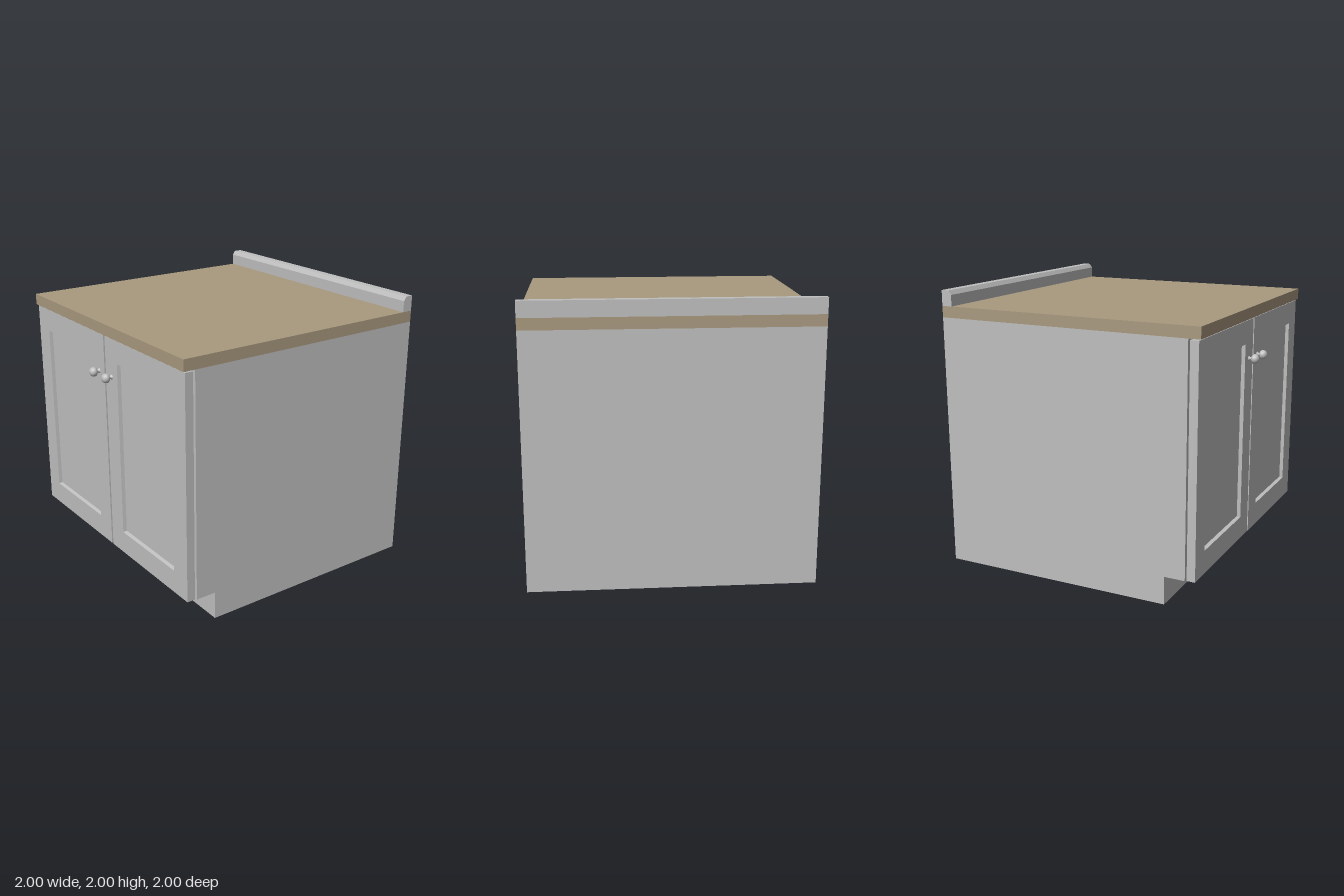
import * as THREE from 'three';

const paint = new THREE.MeshStandardMaterial({ color: 0xbfbfbf });
paint.name = 'grey paint';
const wood = new THREE.MeshStandardMaterial({ color: 0xa9997f });
wood.name = 'wood counter';

function addMesh(parent, name, geometry, material) {
  const mesh = new THREE.Mesh(geometry, material);
  mesh.name = name;
  parent.add(mesh);
  return mesh;
}

// Extrudes a side profile of [z, y] points across the full width
function sideExtrude(points) {
  const shape = new THREE.Shape(points.map(([z, y]) => new THREE.Vector2(z, y)));
  const geometry = new THREE.ExtrudeGeometry(shape, { depth: 2, bevelEnabled: false });
  return geometry.translate(0, 0, -1).rotateY(-Math.PI / 2);
}

// Box given by its min and max corners
function boxBetween(x0, x1, y0, y1, z0, z1) {
  return new THREE.BoxGeometry(x1 - x0, y1 - y0, z1 - z0)
    .translate((x0 + x1) / 2, (y0 + y1) / 2, (z0 + z1) / 2);
}

function corners(x0, x1, y0, y1) {
  return [[x0, y0], [x1, y0], [x1, y1], [x0, y1]];
}

// Sloped moulding between a front rectangle and a smaller rectangle behind it
function slopedRing(outer, inner, zFront, zBack) {
  const positions = [];
  for (let i = 0; i < 4; i++) {
    const j = (i + 1) % 4;
    const a = [...outer[i], zFront], b = [...outer[j], zFront];
    const c = [...inner[j], zBack], d = [...inner[i], zBack];
    positions.push(...a, ...b, ...c, ...a, ...c, ...d);
  }
  const geometry = new THREE.BufferGeometry();
  geometry.setAttribute('position', new THREE.Float32BufferAttribute(positions, 3));
  geometry.computeVertexNormals();
  return geometry;
}

// Door: frame with an opening, sloped moulding, recessed panel and round knob
function makeDoor(name, x0, x1, px0, px1, knobX) {
  const door = new THREE.Group();
  door.name = name;
  const back = 0.865, front = 0.925, recess = 0.9, slope = 0.007;
  const py0 = 0.365, py1 = 1.637;
  const toPoints = (list) => list.map(([x, y]) => new THREE.Vector2(x, y));

  const shape = new THREE.Shape(toPoints(corners(x0, x1, 0.2, 1.8)));
  shape.holes.push(new THREE.Path(toPoints(corners(px0, px1, py0, py1))));
  const frame = new THREE.ExtrudeGeometry(shape, { depth: front - back, bevelEnabled: false });
  addMesh(door, 'doorFrame', frame.translate(0, 0, back), paint);

  const inner = corners(px0 + slope, px1 - slope, py0 + slope, py1 - slope);
  addMesh(door, 'panelMoulding',
    slopedRing(corners(px0, px1, py0, py1), inner, front, recess), paint);
  addMesh(door, 'doorPanel', boxBetween(px0, px1, py0, py1, back, recess), paint);

  // Knob turned around the z axis: flared foot, thin stem, flattened head
  const profile = [[0.018, 0], [0.016, 0.004], [0.011, 0.009], [0.01, 0.017], [0.013, 0.022],
    [0.025, 0.026], [0.032, 0.034], [0.034, 0.045], [0.031, 0.058], [0.023, 0.068],
    [0.012, 0.073], [0, 0.075]].map(([r, h]) => new THREE.Vector2(r, h));
  const knob = addMesh(door, 'knob', new THREE.LatheGeometry(profile, 24), paint);
  knob.rotation.x = Math.PI / 2;
  knob.position.set(knobX, 1.525, front);
  return door;
}

export function createModel() {
  const model = new THREE.Group();
  model.name = 'baseCabinet';

  // Carcass with toe kick
  addMesh(model, 'cabinetBody', sideExtrude([
    [-1, 0], [0.707, 0], [0.707, 0.2], [0.855, 0.2], [0.855, 1.81], [-1, 1.81],
  ]), paint);

  addMesh(model, 'countertop', boxBetween(-1, 1, 1.81, 1.89, -1, 0.94), wood);

  // Backsplash with a chamfered front edge
  addMesh(model, 'backsplash', sideExtrude([
    [-1, 1.89], [-0.922, 1.89], [-0.922, 1.97], [-0.942, 2], [-1, 2],
  ]), paint);

  model.add(makeDoor('rightDoor', -0.993, -0.003, -0.84, -0.155, -0.08));
  model.add(makeDoor('leftDoor', 0.015, 0.992, 0.17, 0.837, 0.092));
  return model;
}
